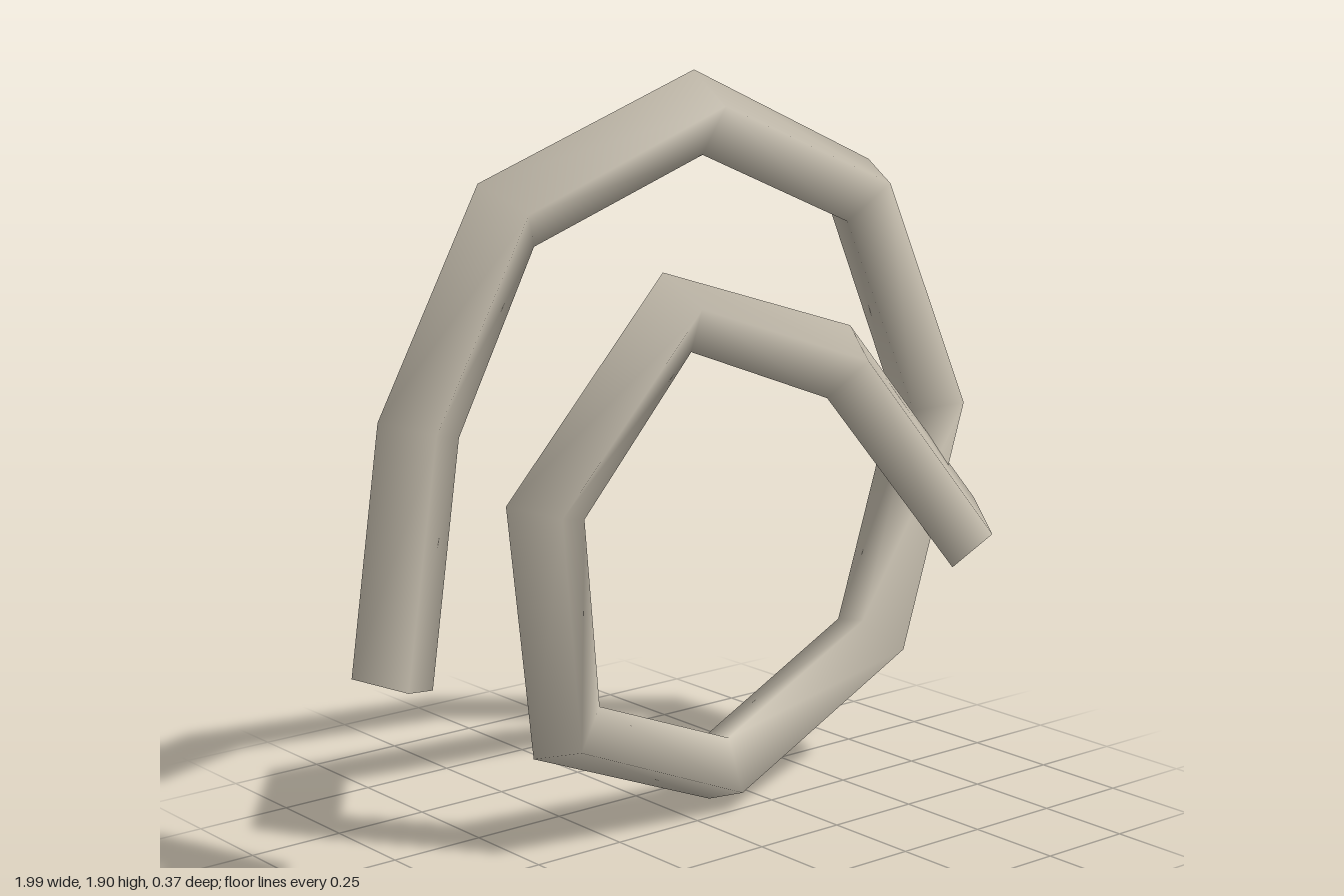
import * as THREE from 'three';

// Centre line of the coil, clockwise from the outer end: x, y, z, roll of the square section
const PATH = [
  [-0.9, 0.54, -0.015, 0.23],
  [-0.847, 1.14, 0.035, 0.2],
  [-0.617, 1.612, 0.065, 0.15],
  [-0.03, 1.808, 0.04, 0.2],
  [0.538, 1.573, -0.01, 0.32],
  [0.852, 0.98, -0.065, 0.42],
  [0.673, 0.363, -0.085, 0.45],
  [0.13, 0.105, -0.07, 0.42],
  [-0.405, 0.325, -0.008, 0.35],
  [-0.508, 0.9, 0.055, 0.25],
  [-0.137, 1.342, 0.09, 0.2],
  [0.423, 1.152, 0.05, 0.17],
  [0.94, 0.615, -0.01, 0.15],
];
const RADIUS = 0.102;
const SIDES = 4;

// Direction pointing away from the coil's centre at a bend
function outward(i) {
  const k = Math.min(Math.max(i, 1), PATH.length - 2);
  const p = (j) => new THREE.Vector2(PATH[j][0], PATH[j][1]);
  const before = p(k).sub(p(k - 1)).normalize();
  const after = p(k + 1).sub(p(k)).normalize();
  const t = before.add(after).normalize();
  return new THREE.Vector3(-t.y, t.x, 0);
}

// Square tube with one mitred section per bend and open ends
function coilGeometry() {
  const positions = [];
  const index = [];
  PATH.forEach(([x, y, z, roll], i) => {
    const u = outward(i);
    for (let s = 0; s < SIDES; s++) {
      const a = (s / SIDES) * Math.PI * 2 - roll;
      const r = Math.cos(a) * RADIUS;
      positions.push(x + u.x * r, y + u.y * r, z + Math.sin(a) * RADIUS);
      if (i < PATH.length - 1) {
        const n = (s + 1) % SIDES;
        const a0 = i * SIDES + s, b0 = i * SIDES + n;
        index.push(a0, b0, b0 + SIDES, a0, b0 + SIDES, a0 + SIDES);
      }
    }
  });
  const geometry = new THREE.BufferGeometry();
  geometry.setAttribute('position', new THREE.Float32BufferAttribute(positions, 3));
  geometry.setIndex(index);
  geometry.computeVertexNormals();
  return geometry;
}

export function createModel() {
  const group = new THREE.Group();
  group.name = 'coiledTube';
  const material = new THREE.MeshStandardMaterial({ color: 0xcac2b2, side: THREE.DoubleSide });
  material.name = 'warm grey';
  const coil = new THREE.Mesh(coilGeometry(), material);
  coil.name = 'coil';
  group.add(coil);
  return group;
}
